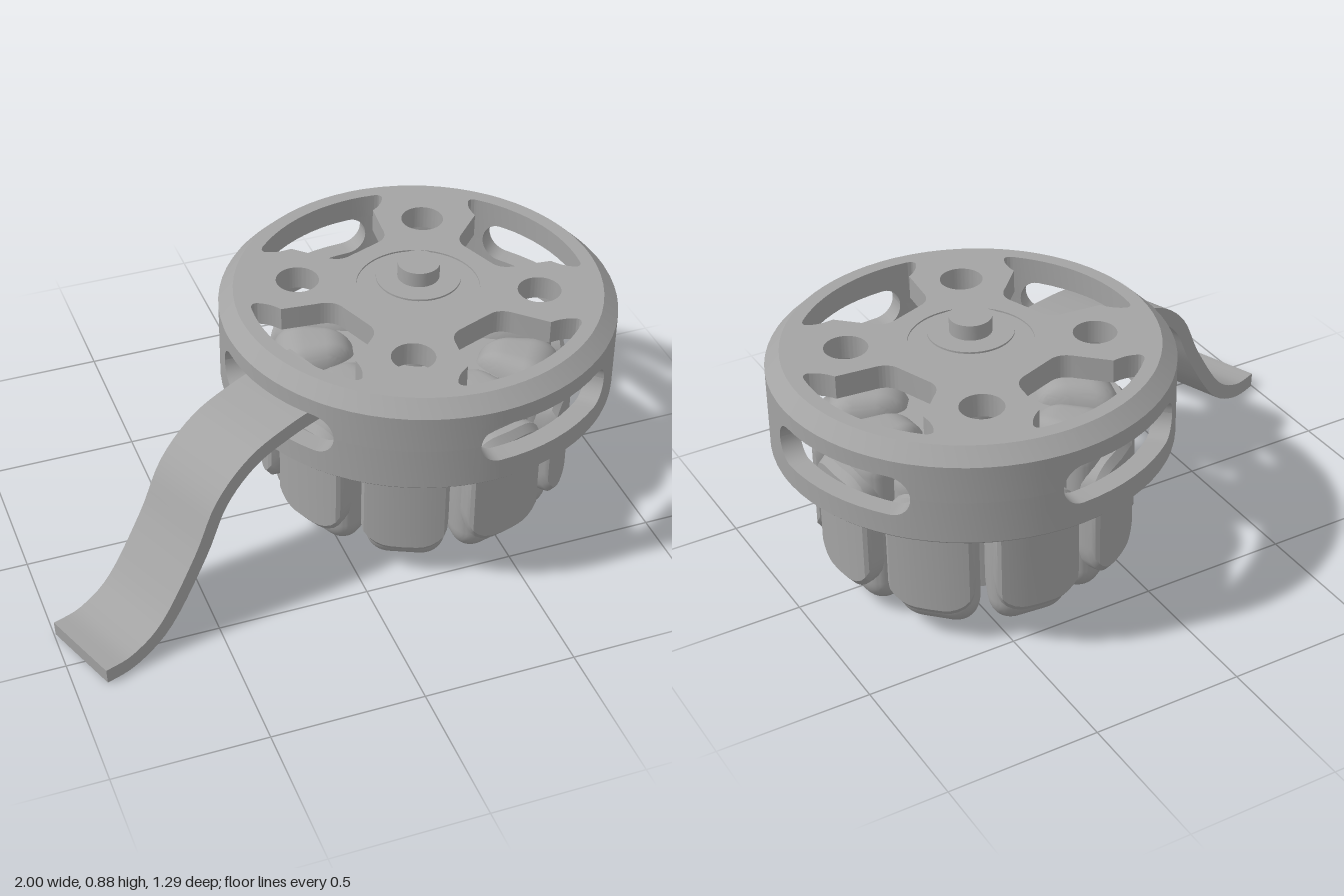
import * as THREE from 'three';
import { toCreasedNormals } from 'three/addons/utils/BufferGeometryUtils.js';
import { RoundedBoxGeometry } from 'three/addons/geometries/RoundedBoxGeometry.js';

const rad = THREE.MathUtils.degToRad;
const CX = 0.355; // axis of the drum along x

// Sweeps a closed (radius, y) section around the y axis; columns = [degrees, section]
function sweep(columns) {
  const pos = [];
  const point = (deg, [r, y]) => [r * Math.cos(rad(deg)), y, r * Math.sin(rad(deg))];
  for (let c = 0; c < columns.length - 1; c++) {
    const [a0, s0] = columns[c], [a1, s1] = columns[c + 1];
    for (let i = 0; i < s0.length; i++) {
      const j = (i + 1) % s0.length;
      const p = point(a0, s0[i]), q = point(a0, s0[j]);
      const p1 = point(a1, s1[i]), q1 = point(a1, s1[j]);
      pos.push(...p, ...q, ...q1, ...p, ...q1, ...p1);
    }
  }
  const g = new THREE.BufferGeometry();
  g.setAttribute('position', new THREE.Float32BufferAttribute(pos, 3));
  return toCreasedNormals(g, rad(28));
}

export function createModel() {
  const model = new THREE.Group();
  const gray = new THREE.MeshStandardMaterial({ color: 0xa3a3a3 });
  gray.name = 'grayMetal';
  const drum = new THREE.Group();
  drum.name = 'drum';
  drum.position.x = CX;
  model.add(drum);
  const add = (name, geometry, parent = drum) => {
    const m = new THREE.Mesh(geometry, gray);
    m.name = name;
    parent.add(m);
    return m;
  };
  const disc = (name, r, y0, y1, seg = 48) =>
    add(name, new THREE.CylinderGeometry(r, r, y1 - y0, seg).translate(0, (y0 + y1) / 2, 0));

  // Cap wall: two rings meeting at mid height, parted by four round-ended slots
  const MID = 0.626, SLOT = 0.068, STRAIGHT = 18.4, END = 6.1;
  const openings = [];
  for (let k = 0; k < 4; k++) {
    const c = 69.6 + 90 * k;
    for (let i = 8; i >= 0; i--) {
      const t = (i / 8) * Math.PI / 2;
      openings.push([c - STRAIGHT - END * Math.sin(t), i === 8 ? 0 : SLOT * Math.cos(t)]);
    }
    for (let i = 1; i < 8; i++) openings.push([c - STRAIGHT + (2 * STRAIGHT * i) / 8, SLOT]);
    for (let i = 0; i <= 8; i++) {
      const t = (i / 8) * Math.PI / 2;
      openings.push([c + STRAIGHT + END * Math.sin(t), i === 8 ? 0 : SLOT * Math.cos(t)]);
    }
    for (let i = 1; i < 8; i++) openings.push([c + STRAIGHT + END + (41 * i) / 8, 0]);
  }
  openings.push([openings[0][0] + 360, 0]);
  add('capLowerRing', sweep(openings.map(([a, o]) =>
    [a, [[0.58, 0.477], [0.637, 0.477], [0.645, 0.485], [0.645, MID - o], [0.58, MID - o]]])));
  add('capUpperRing', sweep(openings.map(([a, o]) =>
    [a, [[0.58, MID + o], [0.645, MID + o], [0.645, 0.75], [0.597, 0.797], [0.58, 0.797]]])));

  // Cap top plate with four windows, four round holes and a central recess
  const face = new THREE.Shape().absarc(0, 0, 0.582, 0, Math.PI * 2);
  const hole = (x, y, r) => face.holes.push(new THREE.Path().absarc(x, y, r, 0, Math.PI * 2, true));
  hole(0, 0, 0.2);
  for (let k = 0; k < 4; k++) {
    const h = rad(24 + 90 * k), w = rad(69.6 + 90 * k);
    hole(0.39 * Math.cos(h), 0.39 * Math.sin(h), 0.07);
    const at = (r, deg) => [r * Math.cos(w + rad(deg)), r * Math.sin(w + rad(deg))];
    const win = new THREE.Path();
    win.moveTo(...at(0.53, 29));
    win.quadraticCurveTo(...at(0.55, 29), ...at(0.55, 26));
    for (let d = 22; d >= -26; d -= 4) win.lineTo(...at(0.55, d));
    win.quadraticCurveTo(...at(0.55, -29), ...at(0.53, -29));
    win.quadraticCurveTo(...at(0.49, -28), ...at(0.46, -23));
    win.lineTo(...at(0.34, -22));
    win.quadraticCurveTo(...at(0.29, -22), ...at(0.275, -14));
    win.lineTo(...at(0.275, 14));
    win.quadraticCurveTo(...at(0.29, 22), ...at(0.34, 22));
    win.lineTo(...at(0.46, 23));
    win.quadraticCurveTo(...at(0.49, 28), ...at(0.53, 29));
    face.holes.push(win);
  }
  const plate = new THREE.ExtrudeGeometry(face, { depth: 0.08, bevelEnabled: false, curveSegments: 48 });
  add('capPlate', toCreasedNormals(plate.rotateX(Math.PI / 2).translate(0, 0.797, 0), rad(28)));

  // Shaft, recessed seat, retaining washer and inner core
  disc('recessSeat', 0.2, 0.72, 0.792);
  disc('washer', 0.137, 0.828, 0.834);
  disc('shaftPin', 0.068, 0.78, 0.885, 32);
  disc('innerBoss', 0.11, 0.5, 0.73, 32);
  disc('core', 0.31, 0.07, 0.55);

  // Nine wedge-shaped coils, each with a curved pole shoe outside
  const coil = new RoundedBoxGeometry(0.3, 0.6, 0.27, 6, 0.1);
  coil.translate(0, 0.31, 0.335);
  const p = coil.attributes.position;
  for (let i = 0; i < p.count; i++) p.setX(i, p.getX(i) * p.getZ(i) / 0.45);
  const coilSmooth = toCreasedNormals(coil, rad(35));

  const shoeSection = (deg, ro) => {
    const over = Math.max(0, Math.abs(deg) - 5) / 11.5; // rounded corners
    const h = 0.11 + 0.1 * Math.sqrt(Math.max(0, 1 - over * over)), y = 0.31;
    return [[0.44, y - h], [ro - 0.02, y - h], [ro, y - h + 0.025],
      [ro, y + h - 0.025], [ro - 0.02, y + h], [0.44, y + h]];
  };
  const flat = (deg) => shoeSection(deg, 0.517).map(([, y]) => [0.44, y]);
  const shoeColumns = [[-16.5, flat(-16.5)], [-16.5, shoeSection(-16.5, 0.495)]];
  for (const d of [-15.8, -14.5, -12.5, -10, -7.5, -5, 0, 5, 7.5, 10, 12.5, 14.5, 15.8])
    shoeColumns.push([d, shoeSection(d, Math.abs(d) > 15 ? 0.508 : 0.517)]);
  shoeColumns.push([16.5, shoeSection(16.5, 0.495)], [16.5, flat(16.5)]);
  const shoe = sweep(shoeColumns);

  for (let k = 0; k < 9; k++) {
    const deg = -4.8 + 40 * k;
    add('coil', coilSmooth).rotation.y = rad(90 - deg);
    add('poleShoe', shoe).rotation.y = -rad(deg);
  }

  // Curved lever strip leaving through one slot
  const curve = new THREE.SplineCurve([
    [0.42, 0.637], [0.52, 0.632], [0.654, 0.615], [0.803, 0.572], [0.927, 0.47], [1.016, 0.305],
    [1.154, 0.11], [1.28, 0.036], [1.39, 0.03],
  ].map(([x, y]) => new THREE.Vector2(x, y)));
  const upper = [], lower = [];
  for (let i = 0; i <= 40; i++) {
    const c = curve.getPoint(i / 40), t = curve.getTangent(i / 40);
    const n = new THREE.Vector2(-t.y, t.x).multiplyScalar(0.026);
    upper.push(c.clone().add(n));
    lower.push(c.clone().sub(n));
  }
  lower.forEach((v) => { v.y = Math.max(0, v.y); });
  const strip = new THREE.ExtrudeGeometry(new THREE.Shape([...lower, ...upper.reverse()]),
    { depth: 0.28, bevelEnabled: false });
  const lever = add('lever', toCreasedNormals(strip.translate(0, 0, -0.14), rad(30)));
  lever.rotation.y = -rad(159.6);

  return model;
}
